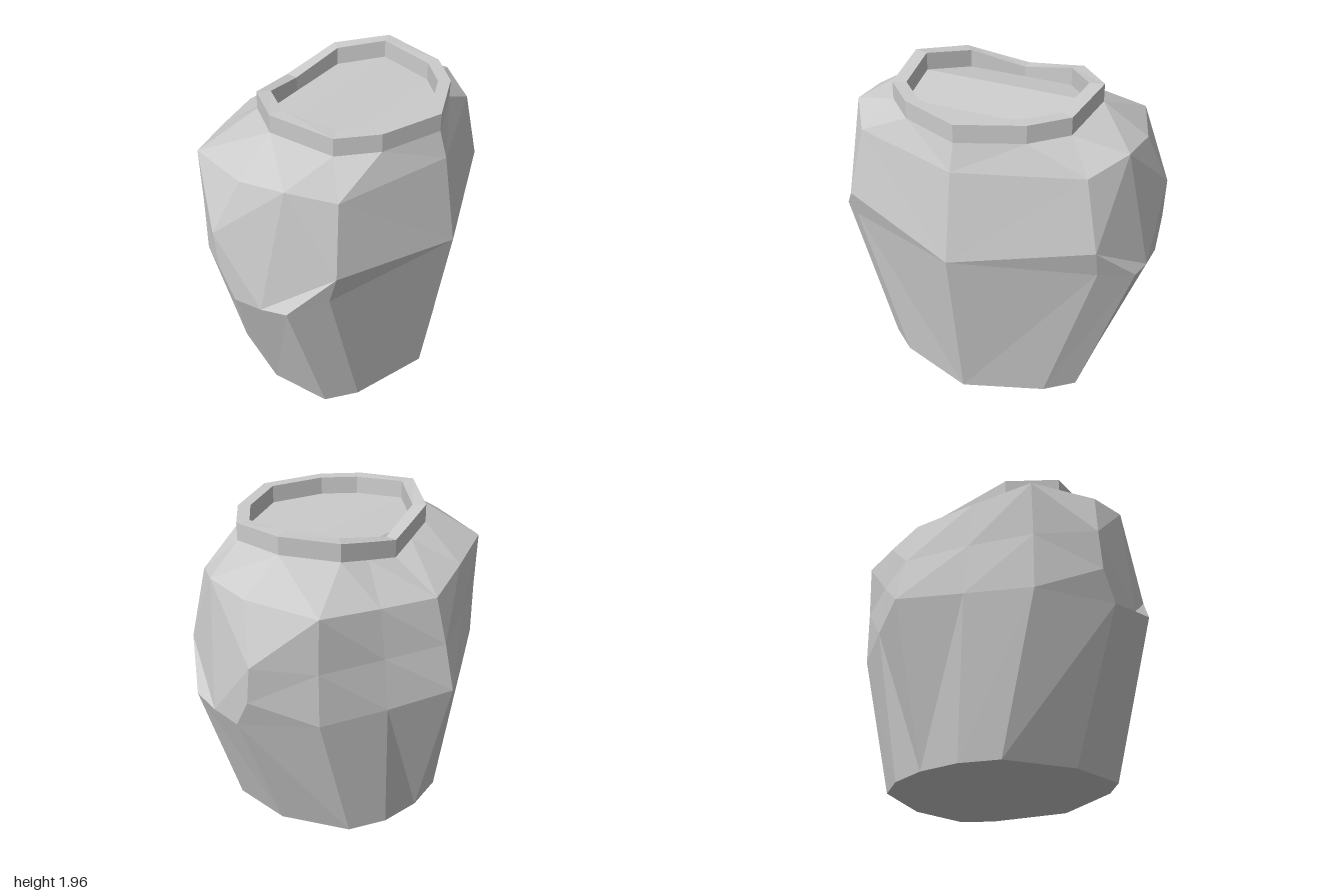
import * as THREE from 'three';

// Cross-sections of one half, each running from +x round the front to -x
const base = [[.67, 0, 0], [.5, 0, .49], [.36, 0, .66], [-.03, 0, .67], [-.44, 0, .48], [-.56, 0, .26], [-.6, 0, 0]];
const waist = [[.84, 1.1, 0], [.5, 1.02, .8], [.33, .96, .98], [-.03, .91, 1], [-.45, .95, .75], [-.65, .97, .38], [-.84, 1, 0]];
const bulge = [[.84, 1.1, 0], [.55, 1.2, .8], [.16, .93, 1], [-.13, 1.1, 1], [-.45, 1.3, .75], [-.62, 1.3, .38], [-.77, 1.29, 0]];
const bulgeTop = bulge.map((p, i) => (i === 3 ? [-.16, 1.34, 1] : p));
const shoulder = [[.75, 1.65, 0], [.5, 1.64, .71], [.26, 1.71, .87], [-.03, 1.68, .89], [-.46, 1.65, .75], [-.58, 1.61, .38], [-.69, 1.57, 0]];
const neck = [[.7, 1.81, 0], [.55, 1.81, .37], [.36, 1.81, .56], [-.03, 1.85, .61], [-.3, 1.81, .39], [-.34, 1.77, .2], [-.38, 1.73, 0]];

const raise = (row, h) => row.map(([x, y, z]) => [x, y + h, z]);
const shrink = (row, s) => row.map(([x, y, z]) => [.15 + (x - .15) * s, y, z * s]);
const mirror = ([x, y, z]) => [x, y, -z];

// Collects triangles, leaving out collapsed ones
function addTriangle(out, a, b, c) {
  const [p, q, r] = [a, b, c].map((v) => new THREE.Vector3(...v));
  if (new THREE.Triangle(p, q, r).getArea() > 1e-6) out.push(...a, ...b, ...c);
}

// Joins two sections on both halves; '/' and '\\' choose each quad's diagonal
function join(out, lower, upper, diagonals) {
  for (let i = 0; i < 6; i++) {
    const a = lower[i], b = lower[i + 1], c = upper[i + 1], d = upper[i];
    const tris = diagonals[i] === '/' ? [[a, d, c], [a, c, b]] : [[a, d, b], [d, c, b]];
    for (const [p, q, r] of tris) {
      addTriangle(out, p, q, r);
      addTriangle(out, mirror(p), mirror(r), mirror(q));
    }
  }
}

// Closes a section straight across from one half to the other
function cap(out, row, up) {
  for (let i = 0; i < 6; i++) {
    const a = row[i], b = row[i + 1], c = mirror(b), d = mirror(a);
    for (const [p, q, r] of [[a, b, c], [a, c, d]]) {
      if (up) addTriangle(out, p, r, q);
      else addTriangle(out, p, q, r);
    }
  }
}

function makeMesh(name, positions) {
  const geometry = new THREE.BufferGeometry();
  geometry.setAttribute('position', new THREE.Float32BufferAttribute(positions, 3));
  geometry.computeVertexNormals();
  const material = new THREE.MeshStandardMaterial({ color: 0xcccccc, flatShading: true });
  const mesh = new THREE.Mesh(geometry, material);
  mesh.name = name;
  return mesh;
}

export function createModel() {
  const group = new THREE.Group();
  group.name = 'torso';

  // Tapered body with ledged side bulges and sloping shoulders
  const body = [];
  cap(body, base, false);
  join(body, base, waist, '//\\\\\\\\');
  join(body, waist, bulge, '/\\\\\\\\\\');
  join(body, bulge, bulgeTop, '\\\\/\\\\\\');
  join(body, bulgeTop, shoulder, '//\\/\\\\');
  join(body, shoulder, neck, '///\\\\\\');
  group.add(makeMesh('body', body));

  // Raised collar around the neck opening
  const rim = raise(neck, .11), inner = shrink(rim, .86), seat = shrink(neck, .86);
  const collar = [];
  join(collar, neck, rim, '//////');
  join(collar, rim, inner, '//////');
  join(collar, inner, seat, '//////');
  group.add(makeMesh('collar', collar));

  // Floor of the neck recess
  const floor = [];
  cap(floor, seat, true);
  group.add(makeMesh('neckFloor', floor));
  return group;
}
